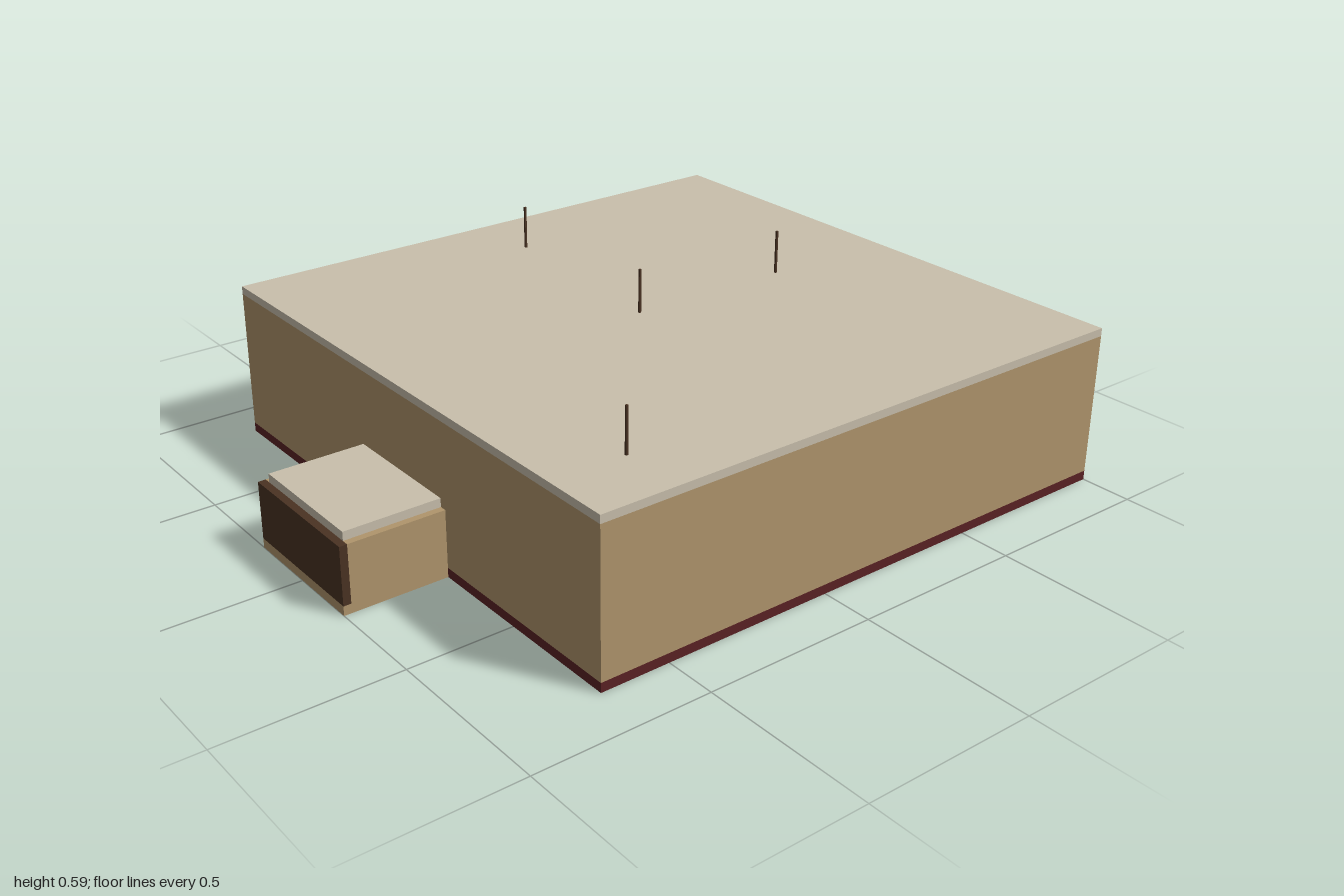
import * as THREE from 'three';

const material = (name, color) => Object.assign(new THREE.MeshStandardMaterial({ color }), { name });

export function createModel() {
  const tan = material('tan wall', 0xb0956c);
  const cream = material('cream roof', 0xc9bfac);
  const maroon = material('maroon base', 0x5a2224);
  const brown = material('dark brown', 0x4a3323);

  const model = new THREE.Group();
  model.name = 'building';

  // Box given by its lower and upper limits on each axis
  const addBox = (name, mat, [x0, x1], [y0, y1], [z0, z1]) => {
    const mesh = new THREE.Mesh(new THREE.BoxGeometry(x1 - x0, y1 - y0, z1 - z0), mat);
    mesh.position.set((x0 + x1) / 2, (y0 + y1) / 2, (z0 + z1) / 2);
    mesh.name = name;
    model.add(mesh);
  };

  // Main block: base, walls and flat roof
  addBox('base', maroon, [-0.85, 0.85], [0, 0.027], [-1, 0.7]);
  addBox('walls', tan, [-0.85, 0.85], [0.027, 0.437], [-1, 0.7]);
  addBox('roof', cream, [-0.85, 0.85], [0.437, 0.46], [-1, 0.7]);

  // Entrance porch with a dark door front above a sill
  addBox('porch', tan, [-0.21, 0.21], [0, 0.193], [0.7, 0.978]);
  addBox('porchSill', tan, [-0.21, 0.21], [0, 0.027], [0.978, 1]);
  addBox('porchDoor', brown, [-0.21, 0.21], [0.027, 0.193], [0.978, 1]);
  addBox('porchRoof', cream, [-0.19, 0.19], [0.193, 0.218], [0.7, 0.978]);

  // Thin rods standing on the roof
  const r = 0.003;
  for (const [x, z] of [[0, -0.08], [0, -0.585], [-0.62, -0.13], [0.66, 0.48]]) {
    addBox('roofRod', brown, [x - r, x + r], [0.46, 0.588], [z - r, z + r]);
  }
  return model;
}
